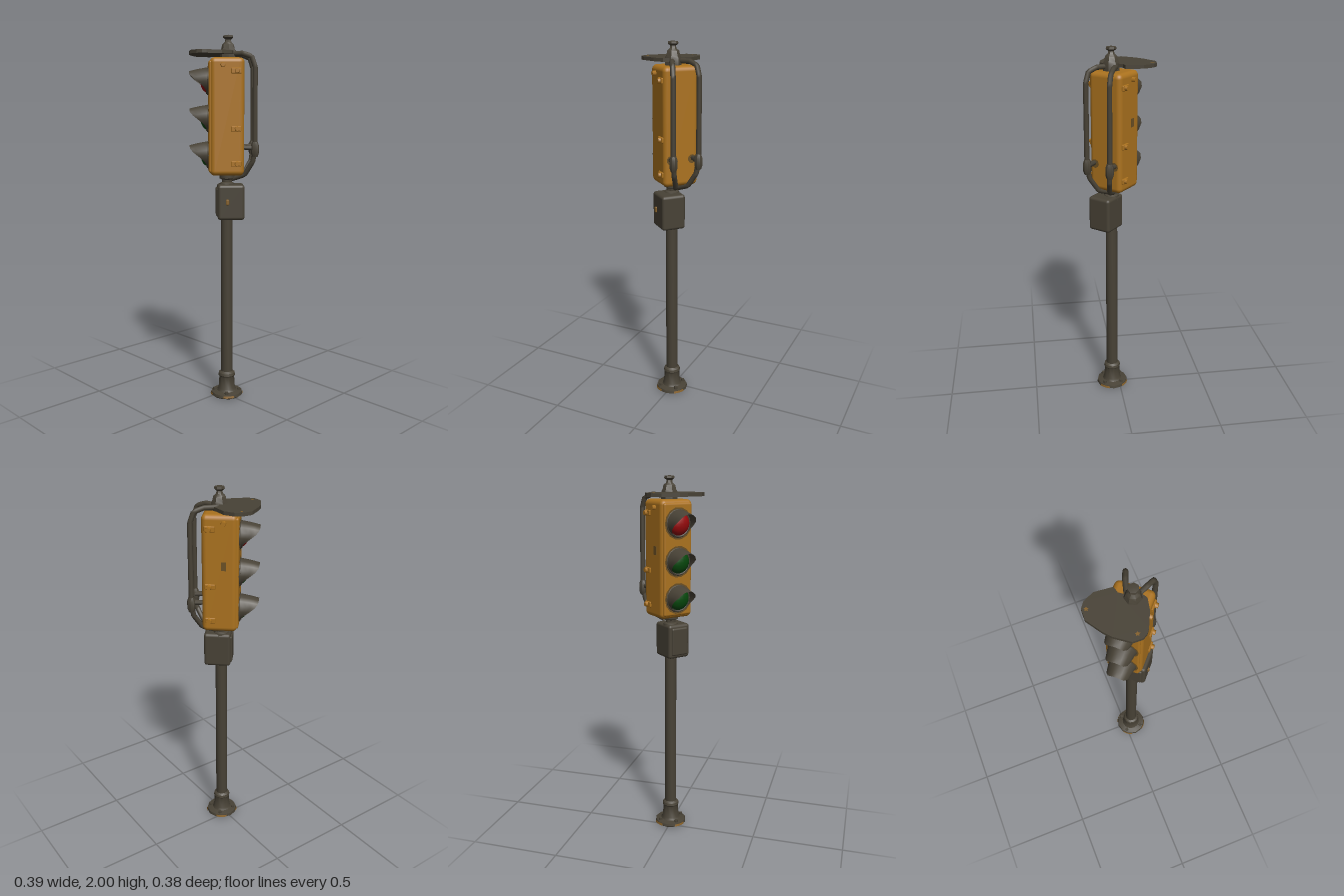
import * as THREE from 'three';
import { toCreasedNormals } from 'three/addons/utils/BufferGeometryUtils.js';
import { RoundedBoxGeometry } from 'three/addons/geometries/RoundedBoxGeometry.js';

const material = (name, color, side = THREE.FrontSide) => {
  const m = new THREE.MeshStandardMaterial({ color, side });
  m.name = name;
  return m;
};

export function createModel() {
  const yellow = material('weathered yellow', 0xab721e);
  const grime = material('grimy yellow', 0x6b5024);
  const grey = material('grimy grey', 0x484236, THREE.DoubleSide);
  const red = material('red glass', 0x980a0c);
  const green = material('green glass', 0x06480c);
  const rust = material('rust', 0x85602a);

  const model = new THREE.Group();
  model.name = 'trafficSignal';

  const add = (parent, name, geometry, mat, x = 0, y = 0, z = 0) => {
    const mesh = new THREE.Mesh(geometry, mat);
    mesh.name = name;
    mesh.position.set(x, y, z);
    parent.add(mesh);
    return mesh;
  };
  const turned = (profile, sides) => toCreasedNormals(
    new THREE.LatheGeometry(profile.map(([r, y]) => new THREE.Vector2(r, y)), sides), 0.7);

  // Irregular thin fleck lying flat
  const fleck = (r) => {
    const shape = new THREE.Shape(Array.from({ length: 10 }, (_, i) => {
      const a = i * Math.PI / 5, d = r * (i % 2 ? 0.55 : 1);
      return new THREE.Vector2(d * Math.cos(a), d * Math.sin(a));
    }));
    return new THREE.ShapeGeometry(shape).rotateX(-Math.PI / 2);
  };

  // Pole with flared foot
  const poleX = 0.042, poleZ = -0.004;
  add(model, 'pole', turned([
    [0, 0], [0.075, 0], [0.09, 0.01], [0.087, 0.025], [0.056, 0.032], [0.048, 0.045],
    [0.043, 0.115], [0.048, 0.122], [0.045, 0.136], [0.033, 0.145], [0.032, 1.05],
  ], 12), grey, poleX, 0, poleZ);
  for (let i = 0; i < 4; i++) {
    const a = Math.PI / 4 + i * Math.PI / 2;
    add(model, 'footBolt', new THREE.CylinderGeometry(0.01, 0.011, 0.014, 6), grey,
      poleX + 0.068 * Math.cos(a), 0.034, poleZ + 0.068 * Math.sin(a));
    add(model, 'footRust', new THREE.CylinderGeometry(0.0885, 0.0915, 0.012, 3, 1, true, a - 0.2, 0.7),
      rust, poleX, 0.017, poleZ);
  }

  // Collar between control box and signal head
  add(model, 'collar', turned([
    [0.045, 1.19], [0.04, 1.215], [0.028, 1.222], [0.028, 1.235], [0.042, 1.242], [0.042, 1.27],
  ], 10), grey, poleX, 0, poleZ);

  // Top finial
  add(model, 'finial', turned([
    [0.044, 1.87], [0.043, 1.918], [0.036, 1.93], [0.032, 1.95], [0.018, 1.962],
    [0.015, 1.975], [0.028, 1.986], [0.026, 1.996], [0, 2],
  ], 7), grey, 0.042, 0, -0.012);

  // Flat rain shield
  const outline = [
    [-0.19, 0.015], [-0.187, -0.04], [-0.165, -0.07], [-0.11, -0.095], [-0.02, -0.087],
    [-0.012, -0.055], [0.02, -0.03], [0.08, -0.015], [0.098, 0.015], [0.085, 0.075], [0.05, 0.15],
    [0.035, 0.17], [0.01, 0.185], [-0.04, 0.183], [-0.11, 0.13], [-0.14, 0.095],
  ].map(p => new THREE.Vector2(...p));
  const shield = new THREE.ExtrudeGeometry(new THREE.Shape(outline), { depth: 0.018, bevelEnabled: false });
  shield.rotateX(Math.PI / 2);
  add(model, 'rainShield', shield, grey, 0, 1.916, 0);
  for (const [x, z] of [[-0.167, -0.03], [-0.005, 0.157]]) {
    add(model, 'shieldRust', fleck(0.012), rust, x, 1.9175, z);
  }

  // Control box, turned with the signal head
  const yaw = -0.72;
  const box = new THREE.Group();
  box.name = 'controlBox';
  box.position.set(0.072, 1.117, -0.003);
  box.rotation.y = yaw;
  model.add(box);
  add(box, 'boxBody', new RoundedBoxGeometry(0.132, 0.19, 0.145, 2, 0.016), grey);
  add(box, 'boxDoor', new RoundedBoxGeometry(0.1, 0.155, 0.026, 2, 0.01), grey, 0, 0, 0.068);
  add(box, 'boxLatch', new RoundedBoxGeometry(0.016, 0.03, 0.018, 1, 0.005), rust, 0.067, 0.003, 0.02);

  // Signal head
  const head = new THREE.Group();
  head.name = 'signalHead';
  head.position.set(0.025, 0, -0.012);
  head.rotation.y = yaw;
  model.add(head);
  add(head, 'housing', new RoundedBoxGeometry(0.192, 0.62, 0.182, 3, 0.026), yellow, 0, 1.57, -0.003);
  add(head, 'frontDoor', new RoundedBoxGeometry(0.172, 0.59, 0.03, 2, 0.012), yellow, 0, 1.57, 0.08);

  // Hood whose length shrinks from top to bottom
  const hoodGeometry = () => {
    const g = new THREE.CylinderGeometry(0.06, 0.073, 1, 16, 4, true).rotateX(Math.PI / 2);
    const p = g.attributes.position;
    for (let i = 0; i < p.count; i++) {
      const t = p.getZ(i) + 0.5;
      const up = p.getY(i) / Math.hypot(p.getX(i), p.getY(i));
      const length = 0.014 + 0.091 * THREE.MathUtils.smoothstep(up, -0.8, 0.9);
      p.setZ(i, t * length);
      p.setY(i, p.getY(i) - 0.008 * t * t);
    }
    g.computeVertexNormals();
    return g;
  };

  // Lamps, each on a grimy backing plate
  [[1.76, red, 'redLens'], [1.563, green, 'upperGreenLens'], [1.368, green, 'lowerGreenLens']]
    .forEach(([y, glass, name]) => {
      add(head, 'lampGrime', new THREE.CircleGeometry(0.083, 14), grime, 0, y, 0.0965);
      add(head, 'hoodRing', new THREE.TorusGeometry(0.067, 0.008, 6, 16), grey, 0, y, 0.095);
      add(head, 'hood', hoodGeometry(), grey, 0, y, 0.092);
      const lens = add(head, name, new THREE.SphereGeometry(0.061, 18, 12), glass, 0, y, 0.098);
      lens.scale.z = 0.65;
    });

  // Hinges and bolts on both sides
  for (const s of [-1, 1]) {
    for (const y of [1.81, 1.51, 1.325]) {
      const bolt = add(head, 'sideBolt', new THREE.CylinderGeometry(0.012, 0.018, 0.034, 7), yellow,
        s * 0.1, y, -0.055);
      bolt.rotation.z = -s * Math.PI / 2;
      add(head, 'hingePad', new RoundedBoxGeometry(0.016, 0.03, 0.055, 1, 0.005), yellow,
        s * 0.096, y, -0.05);
    }
    const clasp = add(head, 'doorClasp', new THREE.CylinderGeometry(0.012, 0.016, 0.03, 6), yellow,
      s * 0.1, 1.84, 0.02);
    clasp.rotation.z = -s * Math.PI / 2;
  }
  add(head, 'sideGrime', new THREE.BoxGeometry(0.004, 0.045, 0.026), grime, -0.096, 1.62, 0.02);

  // Rear conduits with couplings and brackets
  for (const s of [-1, 1]) {
    const path = new THREE.CurvePath();
    const points = [
      [0.02, 1.9, -0.02], [0.05, 1.902, -0.085], [0.066, 1.885, -0.132], [0.071, 1.83, -0.151],
      [0.071, 1.4, -0.152], [0.062, 1.335, -0.142], [0.035, 1.262, -0.1], [0.008, 1.236, -0.03],
    ].map(([x, y, z]) => new THREE.Vector3(s * x, y, z));
    for (let i = 1; i < points.length; i++) path.add(new THREE.LineCurve3(points[i - 1], points[i]));
    add(head, 'conduit', new THREE.TubeGeometry(path, 60, 0.0135, 8), grey);
    add(head, 'coupling', turned([
      [0, -0.042], [0.015, -0.04], [0.022, -0.02], [0.022, 0.02], [0.015, 0.04], [0, 0.042],
    ], 8), grey, s * 0.07, 1.4, -0.152);
    const bracket = add(head, 'conduitBracket', new THREE.CylinderGeometry(0.011, 0.017, 0.07, 7), grey,
      s * 0.063, 1.41, -0.118);
    bracket.rotation.x = Math.PI / 2;
    const stain = add(head, 'bracketGrime', new THREE.CircleGeometry(0.024, 9), grime,
      s * 0.06, 1.405, -0.0955);
    stain.rotation.y = Math.PI;
  }

  return model;
}
